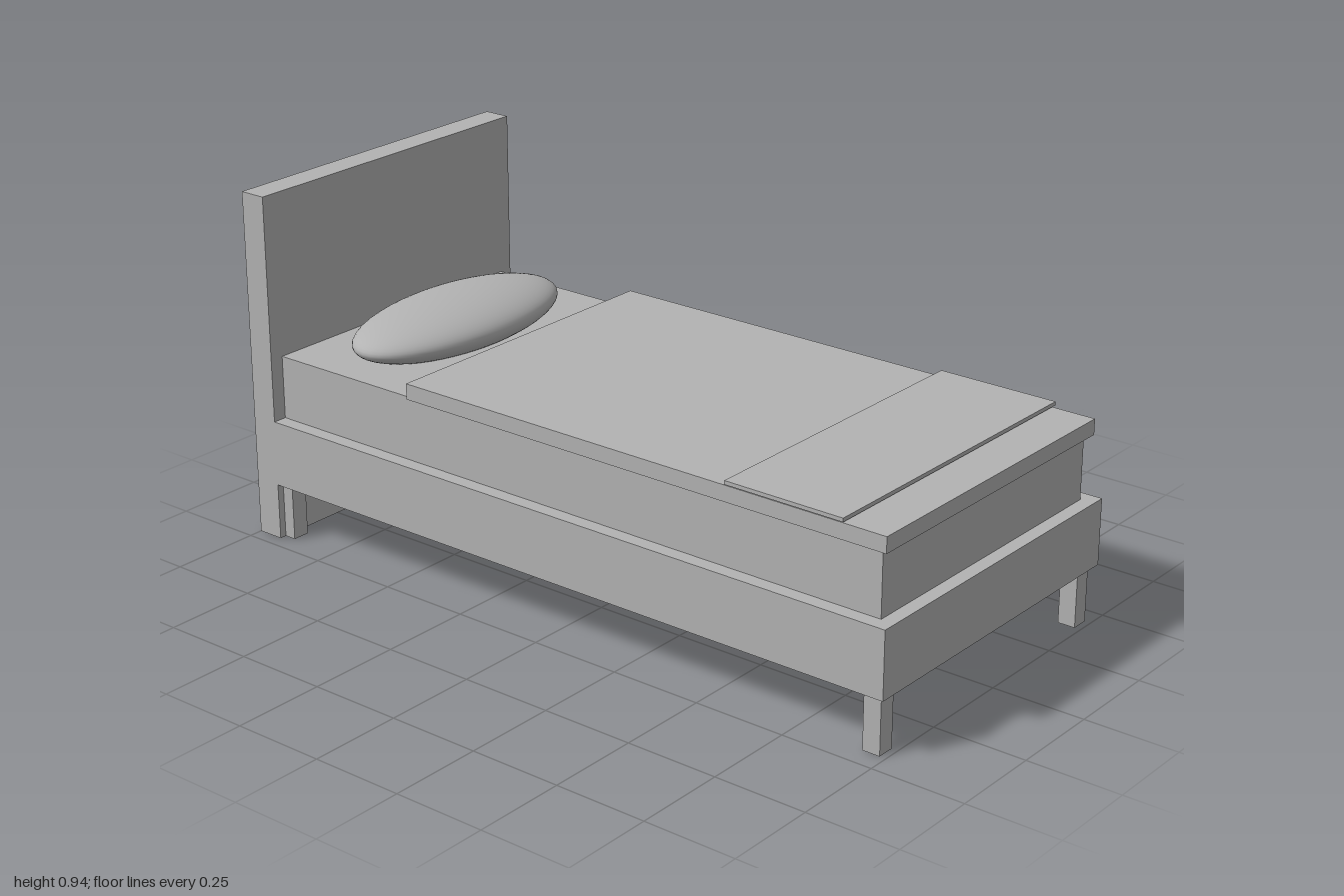
import * as THREE from 'three';

export function createModel() {
  const bed = new THREE.Group();
  bed.name = 'bed';
  const grey = new THREE.MeshStandardMaterial({ color: 0xb2b2b2 });
  grey.name = 'plain grey';

  // Box given by its x, y and z limits
  function box(name, x0, x1, y0, y1, z0, z1) {
    const mesh = new THREE.Mesh(new THREE.BoxGeometry(x1 - x0, y1 - y0, z1 - z0), grey);
    mesh.position.set((x0 + x1) / 2, (y0 + y1) / 2, (z0 + z1) / 2);
    mesh.name = name;
    bed.add(mesh);
  }

  // Bedstead
  box('headboard', -0.462, 0.462, 0, 0.943, -1, -0.926);
  box('frame', -0.462, 0.462, 0.153, 0.331, -0.926, 1);

  // Legs, mirrored left and right
  for (const side of [-1, 1]) {
    const inner = side * 0.395, outer = side * 0.443;
    const x0 = Math.min(inner, outer), x1 = Math.max(inner, outer);
    box('frontLeg', x0, x1, 0, 0.153, 0.935, 0.983);
    box('backLeg', x0, x1, 0, 0.153, -0.941, -0.893);
  }

  // Bedding
  box('mattress', -0.423, 0.423, 0.331, 0.502, -0.926, 0.962);
  box('blanket', -0.438, 0.438, 0.502, 0.544, -0.47, 0.981);
  box('foldedThrow', -0.443, 0.443, 0.548, 0.558, 0.533, 0.866);

  // Pillow, sunk a little into the mattress
  const pillow = new THREE.Mesh(new THREE.SphereGeometry(1, 48, 32), grey);
  pillow.scale.set(0.355, 0.068, 0.169);
  pillow.position.set(0, 0.54, -0.701);
  pillow.name = 'pillow';
  bed.add(pillow);

  return bed;
}
